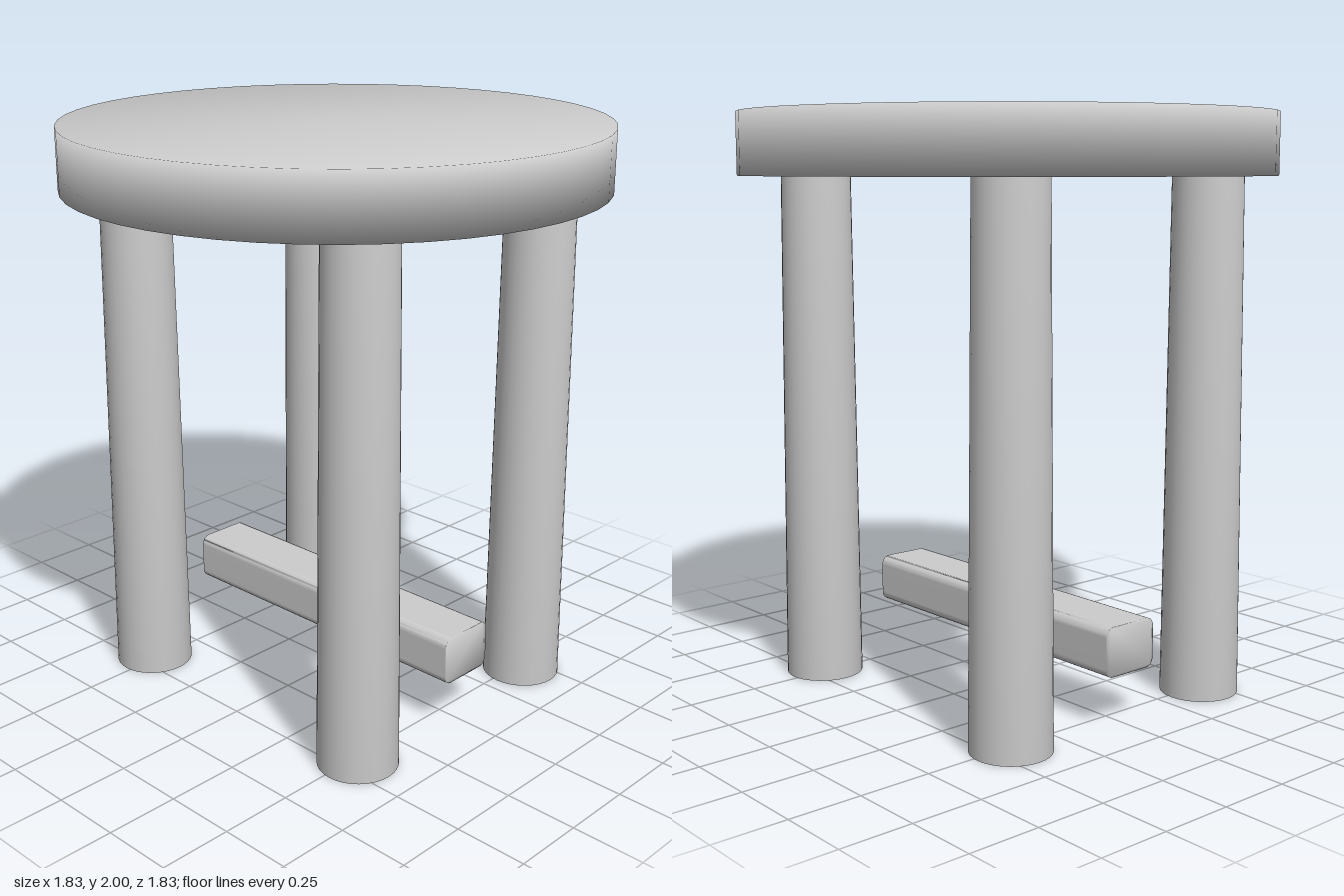
import * as THREE from 'three';
import { mergeVertices } from 'three/addons/utils/BufferGeometryUtils.js';

// Weld all corners so the shading runs softly over the rims
function soften(geometry) {
  geometry.deleteAttribute('normal');
  geometry.deleteAttribute('uv');
  const welded = mergeVertices(geometry, 1e-4);
  welded.clearGroups();
  welded.computeVertexNormals();
  return welded;
}

export function createModel() {
  const stool = new THREE.Group();
  stool.name = 'stool';
  const grey = new THREE.MeshStandardMaterial({ color: 0xcccccc });
  grey.name = 'light grey';

  const add = (name, geometry, x, y, z) => {
    const mesh = new THREE.Mesh(geometry, grey);
    mesh.name = name;
    mesh.position.set(x, y, z);
    stool.add(mesh);
  };

  // Round seat
  add('seat', soften(new THREE.CylinderGeometry(0.913, 0.913, 0.21, 48)), 0, 1.895, 0);

  // Four legs, slightly thicker at the floor
  const leg = soften(new THREE.CylinderGeometry(0.121, 0.136, 1.8, 32));
  for (const [front, z] of [['front', 0.437], ['back', -0.437]]) {
    for (const [side, x] of [['Left', 0.52], ['Right', -0.52]]) {
      add(`${front}${side}Leg`, leg, x, 0.9, z);
    }
  }

  // Crossbar along x, with a rounded rectangular section
  const w = 0.108, h = 0.085, r = 0.032;
  const section = new THREE.Shape();
  section.absarc(w - r, h - r, r, 0, Math.PI / 2);
  section.absarc(-w + r, h - r, r, Math.PI / 2, Math.PI);
  section.absarc(-w + r, -h + r, r, Math.PI, Math.PI * 1.5);
  section.absarc(w - r, -h + r, r, Math.PI * 1.5, Math.PI * 2);
  const bar = new THREE.ExtrudeGeometry(section, { depth: 1.22, bevelEnabled: false, curveSegments: 4 });
  bar.translate(0, 0, -0.61).rotateY(Math.PI / 2);
  add('crossbar', soften(bar), 0, 0.265, 0);

  return stool;
}
